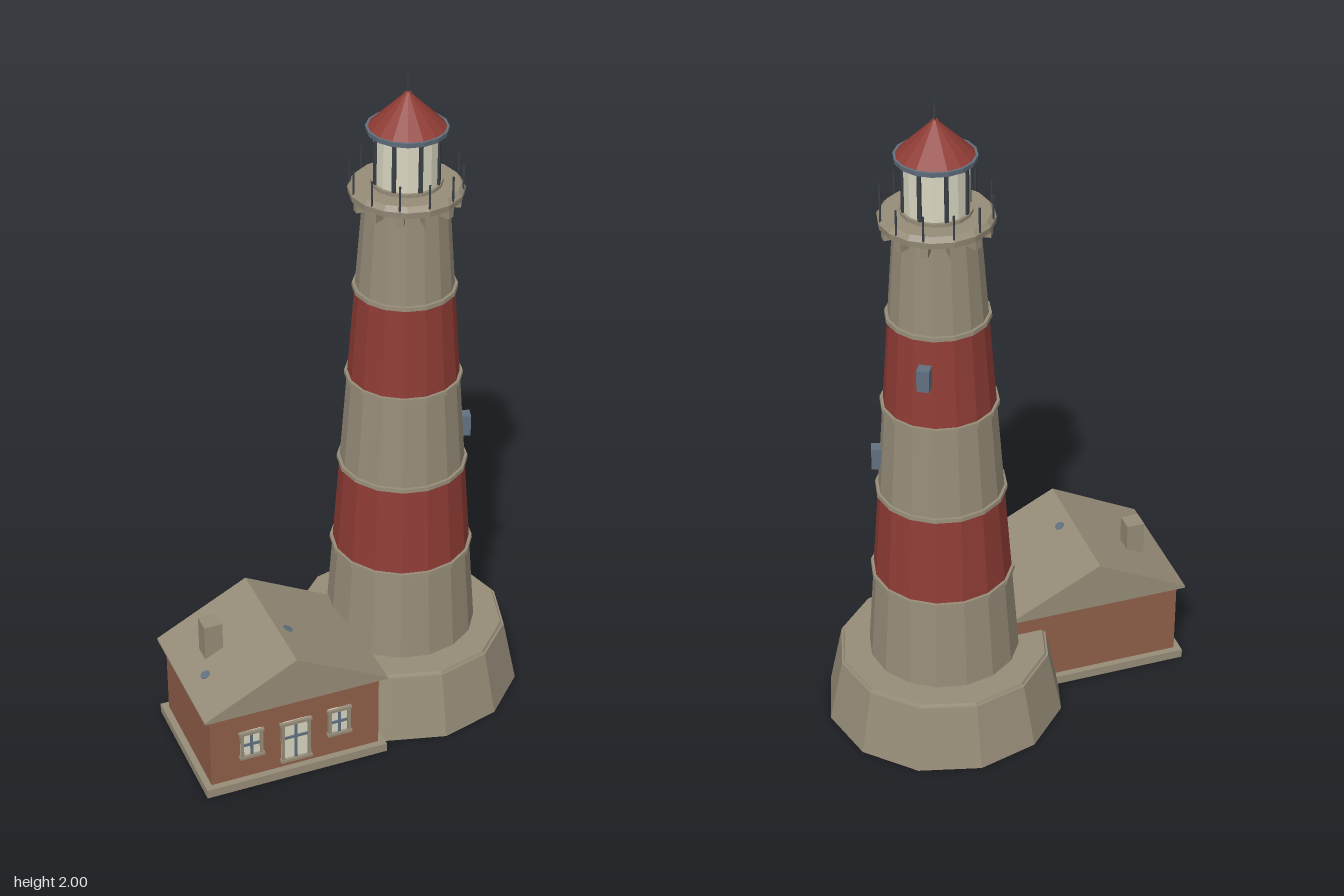
import * as THREE from 'three';

const mat = (name, color) => {
  const m = new THREE.MeshStandardMaterial({ color });
  m.name = name;
  return m;
};

export function createModel() {
  const stone = mat('stone', 0x968c78);
  const red = mat('red paint', 0x8f3c35);
  const brick = mat('brick', 0x8f5e48);
  const slate = mat('slate metal', 0x62707f);
  const dark = mat('dark iron', 0x3a4047);
  const glass = mat('cream glass', 0xd8d5c0);

  const root = new THREE.Group();
  root.name = 'lighthouse';
  const tower = new THREE.Group();
  tower.name = 'tower';
  tower.position.x = 0.195;
  const house = new THREE.Group();
  house.name = 'keeperHouse';
  root.add(tower, house);

  // Faceted mesh: every face gets its own normal
  const add = (parent, name, geo, material, x = 0, y = 0, z = 0) => {
    const g = geo.index ? geo.toNonIndexed() : geo;
    g.computeVertexNormals();
    const m = new THREE.Mesh(g, material);
    m.name = name;
    m.position.set(x, y, z);
    parent.add(m);
    return m;
  };
  // Frustum between two heights
  const drum = (name, material, y0, y1, r0, r1, sides = 16) =>
    add(tower, name, new THREE.CylinderGeometry(r1, r0, y1 - y0, sides), material, 0, (y0 + y1) / 2, 0);
  // Box given by its x, y and z limits
  const box = (name, material, x0, x1, y0, y1, z0, z1) =>
    add(house, name, new THREE.BoxGeometry(x1 - x0, y1 - y0, z1 - z0), material,
      (x0 + x1) / 2, (y0 + y1) / 2, (z0 + z1) / 2);
  // Part set at a radius and angle around the tower, its x axis pointing outwards
  const radial = (name, geo, material, r, y, angle) => {
    const m = add(tower, name, geo, material, r * Math.cos(angle), y, r * Math.sin(angle));
    m.rotation.y = -angle;
  };

  // Plinth
  drum('plinth', stone, 0, 0.2, 0.36, 0.318, 12);
  drum('plinthCap', stone, 0.2, 0.208, 0.312, 0.308, 12);

  // Tapering shaft in alternating bands, with a thin ring at each joint
  const shaftR = (y) => 0.225 - (y - 0.2) * 0.0736;
  const joints = [0.2, 0.495, 0.78, 1.068, 1.352, 1.64];
  for (let i = 0; i < 5; i++) {
    const [a, b] = [joints[i], joints[i + 1]];
    drum('shaftBand', i % 2 ? red : stone, a, b, shaftR(a), shaftR(b));
    if (i) drum('shaftRing', stone, a - 0.006, a + 0.006, shaftR(a) + 0.009, shaftR(a) + 0.008);
  }

  // Small shaft windows
  for (const [r, y, angle] of [[0.18, 0.88, 0.28], [0.165, 1.238, -1.025]]) {
    radial('shaftWindow', new THREE.BoxGeometry(0.035, 0.066, 0.036), slate, r, y, angle);
  }

  // Gallery deck with brackets and posts
  drum('galleryDeck', stone, 1.638, 1.656, 0.16, 0.162);
  drum('galleryDeckEdge', stone, 1.656, 1.67, 0.162, 0.15);
  for (let i = 0; i < 12; i++) {
    const a = (i / 12) * Math.PI * 2;
    radial('galleryBracket', new THREE.BoxGeometry(0.045, 0.032, 0.022), stone, 0.129, 1.623, a);
    radial('galleryPost', new THREE.CylinderGeometry(0.003, 0.003, 0.075, 6), dark, 0.156, 1.694, a);
  }

  // Lantern room
  drum('lanternSill', stone, 1.66, 1.68, 0.1, 0.1);
  drum('lanternGlass', glass, 1.67, 1.83, 0.092, 0.092);
  for (let i = 0; i < 8; i++) {
    radial('lanternBar', new THREE.BoxGeometry(0.01, 0.15, 0.011), dark, 0.092, 1.752, (i / 8) * Math.PI * 2);
  }
  drum('eaveRing', slate, 1.824, 1.838, 0.112, 0.114);
  drum('lanternRoof', red, 1.838, 1.932, 0.107, 0.01);
  drum('roofKnob', red, 1.93, 1.938, 0.013, 0.008, 8);
  drum('spire', dark, 1.93, 2, 0.004, 0.002, 6);

  // House: slab, walls, solid gabled roof and chimney
  box('houseSlab', stone, -0.555, 0.005, 0, 0.028, -0.07, 0.355);
  box('houseWalls', brick, -0.535, -0.015, 0.028, 0.272, -0.05, 0.335);
  const gable = new THREE.Shape([
    new THREE.Vector2(-0.28, 0), new THREE.Vector2(0.28, 0),
    new THREE.Vector2(0.28, 0.006), new THREE.Vector2(0, 0.15), new THREE.Vector2(-0.28, 0.006),
  ]);
  add(house, 'houseRoof', new THREE.ExtrudeGeometry(gable, { depth: 0.425, bevelEnabled: false }),
    stone, -0.275, 0.27, -0.07);
  box('chimney', stone, -0.473, -0.418, 0.27, 0.43, 0.075, 0.13);

  // Small round roof vents
  const pitch = Math.atan2(0.144, 0.28);
  for (const [x, side] of [[-0.493, 1], [-0.238, -1]]) {
    const y = 0.42 - Math.abs(x + 0.275) * 0.514;
    add(house, 'roofVent', new THREE.CylinderGeometry(0.015, 0.015, 0.004, 10), slate, x, y, 0.185)
      .rotation.z = side * pitch;
  }

  // Glazed opening: stone surround, cream pane and slate bars
  const opening = (name, x, y0, y1, w, barY) => {
    const f = 0.009, h = w / 2;
    box(name + 'Pane', glass, x - h, x + h, y0, y1, 0.334, 0.339);
    for (const s of [-1, 1]) {
      const c = x + s * (h - f / 2);
      box(name + 'Jamb', stone, c - f / 2, c + f / 2, y0, y1, 0.334, 0.346);
    }
    box(name + 'Lintel', stone, x - h - 0.004, x + h + 0.004, y1 - f, y1, 0.334, 0.347);
    box(name + 'Sill', stone, x - h - 0.004, x + h + 0.004, y0, y0 + f, 0.334, 0.349);
    box(name + 'Bar', slate, x - 0.004, x + 0.004, y0 + f, y1 - f, 0.334, 0.343);
    box(name + 'CrossBar', slate, x - h + f, x + h - f, barY - 0.004, barY + 0.004, 0.334, 0.343);
  };
  opening('window', -0.412, 0.102, 0.196, 0.068, 0.148);
  opening('window', -0.141, 0.102, 0.196, 0.068, 0.148);
  opening('door', -0.276, 0.05, 0.192, 0.09, 0.135);

  return root;
}
